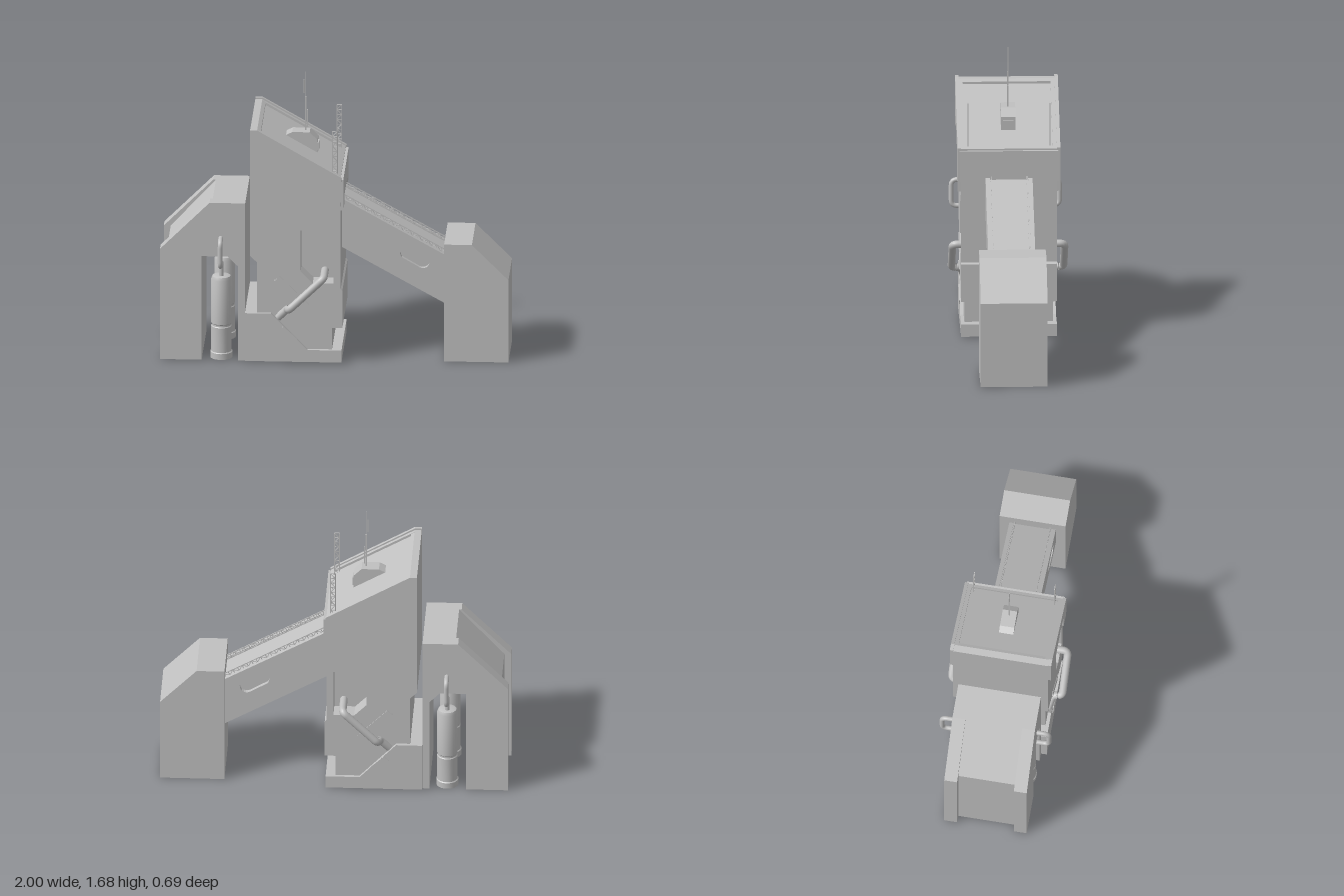
import * as THREE from 'three';
import { toCreasedNormals } from 'three/addons/utils/BufferGeometryUtils.js';

const concrete = new THREE.MeshStandardMaterial({ color: 0xc0c0c0 });
concrete.name = 'concrete grey';

export function createModel() {
  const model = new THREE.Group();
  const add = (name, geometry, parent = model) => {
    const mesh = new THREE.Mesh(geometry, concrete);
    mesh.name = name;
    parent.add(mesh);
    return mesh;
  };
  const outline = pts => pts.map(([x, y]) => new THREE.Vector2(x, y));
  // Side profile (x, y) extruded between two depths
  const slab = (name, pts, z0, z1, holes = []) => {
    const shape = new THREE.Shape(outline(pts));
    holes.forEach(h => shape.holes.push(new THREE.Path(outline(h))));
    const g = new THREE.ExtrudeGeometry(shape, { depth: z1 - z0, bevelEnabled: false });
    return add(name, g.translate(0, 0, z0));
  };
  // The same slab on both the front and back sides
  const slabPair = (name, pts, z0, z1, holes) => {
    slab(name, pts, z0, z1, holes);
    slab(name, pts, -z1, -z0, holes);
  };
  const box = (name, w, h, d, x, y, z, parent) =>
    add(name, new THREE.BoxGeometry(w, h, d).translate(x, y, z), parent);
  // Pipe with rounded elbows through the given corners
  const pipe = (name, corners, radius, bend) => {
    const p = corners.map(c => new THREE.Vector3(...c));
    const path = new THREE.CurvePath();
    let from = p[0];
    for (let i = 1; i < p.length - 1; i++) {
      const a = p[i].clone().add(p[i - 1].clone().sub(p[i]).setLength(bend));
      const b = p[i].clone().add(p[i + 1].clone().sub(p[i]).setLength(bend));
      path.add(new THREE.LineCurve3(from, a));
      path.add(new THREE.QuadraticBezierCurve3(a, p[i], b));
      from = b;
    }
    path.add(new THREE.LineCurve3(from, p[p.length - 1]));
    add(name, new THREE.TubeGeometry(path, 64, radius, 14));
  };
  // Flat lattice girder running along +y from the origin
  const lattice = (name, length, width, bays, t) => {
    const g = new THREE.Group();
    g.name = name;
    for (const s of [-1, 1]) box('chord', t, length, t, s * width / 2, length / 2, 0, g);
    const step = length / bays;
    for (let i = 0; i < bays; i++) {
      const brace = box('brace', t * 0.8, Math.hypot(step, width), t * 0.8, 0, 0, 0, g);
      brace.position.y = (i + 0.5) * step;
      brace.rotation.z = (i % 2 ? 1 : -1) * Math.atan2(width, step);
      box('rung', width, t * 0.8, t * 0.8, 0, (i + 1) * step, 0, g);
    }
    model.add(g);
    return g;
  };

  // Outer pier: recessed spine between two flanges, open slot through it
  const pier = (x, shoulder) => [[x, 0], [x, 0.67], [shoulder, 0.955], [-0.51, 0.955], [-0.51, 0],
    [-0.55, 0], [-0.55, 0.57], [-0.61, 0.63], [-0.76, 0.63], [-0.76, 0]];
  slab('pierSpine', pier(-0.96, -0.7), -0.165, 0.165);
  slabPair('pierFlange', pier(-1, -0.715), 0.165, 0.24);

  // Tanks standing in the pier slot, each with a bent pipe
  const tankProfile = outline([[0, 0], [0.064, 0], [0.064, 0.035], [0.059, 0.04], [0.059, 0.19], [0.055, 0.195],
    [0.055, 0.205], [0.059, 0.21], [0.059, 0.475], [0.052, 0.493], [0.04, 0.498], [0, 0.498]]);
  for (const s of [-1, 1]) {
    const tank = new THREE.LatheGeometry(tankProfile, 28);
    add('tank', toCreasedNormals(tank, 0.5).translate(-0.65, 0, s * 0.175));
    pipe('tankPipe', [[-0.65, 0.48, s * 0.19], [-0.65, 0.585, s * 0.19], [-0.65, 0.585, s * 0.311],
      [-0.65, 0.741, s * 0.311], [-0.65, 0.741, s * 0.2]], 0.014, 0.035);
  }

  // Tower: solid core with outer layers holding the window recesses
  const tower = [[-0.48, 0.65], [-0.05, 0.22], [0.05, 0.22], [0.05, 0.445], [0.04, 0.455],
    [0.04, 1.12], [-0.44, 1.395], [-0.48, 1.395]];
  const recess = [[-0.19, 0.81], [-0.04, 0.81], [0, 0.77], [0, 0.49], [-0.12, 0.49], [-0.19, 0.56]];
  slab('towerCore', tower, -0.17, 0.17);
  slabPair('towerSide', tower, 0.17, 0.275, [recess]);

  // Side cheeks and raised rim around the sloping roof
  slabPair('roofCheek', [[-0.48, 1.42], [-0.48, 1.18], [-0.4, 1.14], [-0.4, 1.23], [-0.36, 1.25],
    [-0.05, 1.07], [-0.05, 0.93], [0.04, 0.88], [0.045, 1.14], [-0.44, 1.42]], 0.275, 0.295);
  slabPair('roofRim', [[-0.48, 1.38], [0.04, 1.1], [0.04, 1.135], [-0.44, 1.41], [-0.48, 1.41]], 0.252, 0.275);
  slab('rearRim', [[-0.48, 1.38], [-0.42, 1.37], [-0.42, 1.397], [-0.44, 1.41], [-0.48, 1.41]], -0.252, 0.252);
  slab('frontRim', [[0.02, 1.1], [0.04, 1.1], [0.04, 1.135], [0.02, 1.147]], -0.252, 0.252);

  // Notched lintel above the arm
  const lintel = new THREE.Shape(outline([[-0.285, 0.94], [-0.18, 0.94], [-0.14, 0.99], [0.14, 0.99],
    [0.18, 0.94], [0.285, 0.94], [0.285, 1.125], [-0.285, 1.125]]));
  add('lintel', new THREE.ExtrudeGeometry(lintel, { depth: 0.02, bevelEnabled: false })
    .rotateY(Math.PI / 2).translate(0.036, 0, 0));

  // Pedestal neck and stepped foot
  slab('neck', [[-0.44, 0.02], [-0.01, 0.02], [-0.01, 0.3], [-0.3, 0.55], [-0.44, 0.63]], -0.255, 0.255);
  slab('foot', [[-0.51, 0.01], [0.045, 0.01], [0.045, 0.083], [-0.15, 0.083], [-0.36, 0.3], [-0.51, 0.3]],
    -0.275, 0.275);
  slabPair('upperClamp', [[-0.34, 0.5], [-0.17, 0.33], [-0.14, 0.36], [-0.31, 0.53]], 0.25, 0.279);
  slabPair('lowerClamp', [[-0.32, 0.195], [-0.24, 0.12], [-0.21, 0.15], [-0.29, 0.225]], 0.27, 0.279);
  for (const s of [-1, 1]) {
    pipe('towerPipe', [[-0.055, 0.535, s * 0.165], [-0.055, 0.535, s * 0.322], [-0.26, 0.335, s * 0.322],
      [-0.26, 0.335, s * 0.268], [-0.32, 0.27, s * 0.25]], 0.022, 0.03);
  }

  // Sloping arm with long oval recesses in its sides
  const armBand = (t0, b0, x0 = 0.03) => {
    const drop = (0.64 - x0) * 0.56;
    return [[x0, b0], [0.64, b0 - drop], [0.64, t0 - drop], [x0, t0]];
  };
  const tilt = -Math.atan(0.56);
  const oval = [];
  for (let i = 0; i < 20; i++) {
    const a = (i / 20) * Math.PI * 2, side = Math.cos(a) >= -1e-6 ? 1 : -1;
    const u = Math.cos(a) * 0.04 + side * 0.052, v = Math.sin(a) * 0.04;
    oval.push([0.46 + u * Math.cos(tilt) - v * Math.sin(tilt), 0.61 + u * Math.sin(tilt) + v * Math.cos(tilt)]);
  }
  slab('armCore', armBand(0.955, 0.7), -0.11, 0.11);
  slab('armKeel', armBand(0.75, 0.665), -0.12, 0.12);
  slabPair('armSide', armBand(0.965, 0.745), 0.11, 0.135, [oval]);

  // Lattice rails along the top of the arm
  for (const s of [-1, 1]) {
    const rail = lattice('armRail', 0.67, 0.024, 22, 0.005);
    rail.position.set(0.05, 0.962, s * 0.103);
    rail.rotation.z = tilt - Math.PI / 2;
  }

  // End block with chamfered shoulder
  slab('endBlock', [[0.63, 0], [1, 0], [1, 0.5], [0.79, 0.71], [0.63, 0.71]], -0.192, 0.192);

  // Roof hut with hatch and aerial
  slab('roofHut', [[-0.29, 1.28], [-0.105, 1.18], [-0.105, 1.28], [-0.15, 1.325], [-0.25, 1.325], [-0.29, 1.305]],
    -0.042, 0.042);
  box('hutHatch', 0.008, 0.05, 0.06, -0.102, 1.235, 0);
  box('aerial', 0.005, 0.36, 0.005, -0.175, 1.5, 0);
  box('aerialSleeve', 0.009, 0.21, 0.009, -0.175, 1.425, 0);
  box('aerialLowerFin', 0.007, 0.11, 0.005, -0.165, 1.395, 0);
  box('aerialUpperFin', 0.006, 0.08, 0.005, -0.184, 1.59, 0);

  // Lattice masts at the two front roof corners
  for (const s of [-1, 1]) {
    lattice('roofMast', 0.27, 0.028, 9, 0.005).position.set(0.005, 1.13, s * 0.235);
  }
  return model;
}
